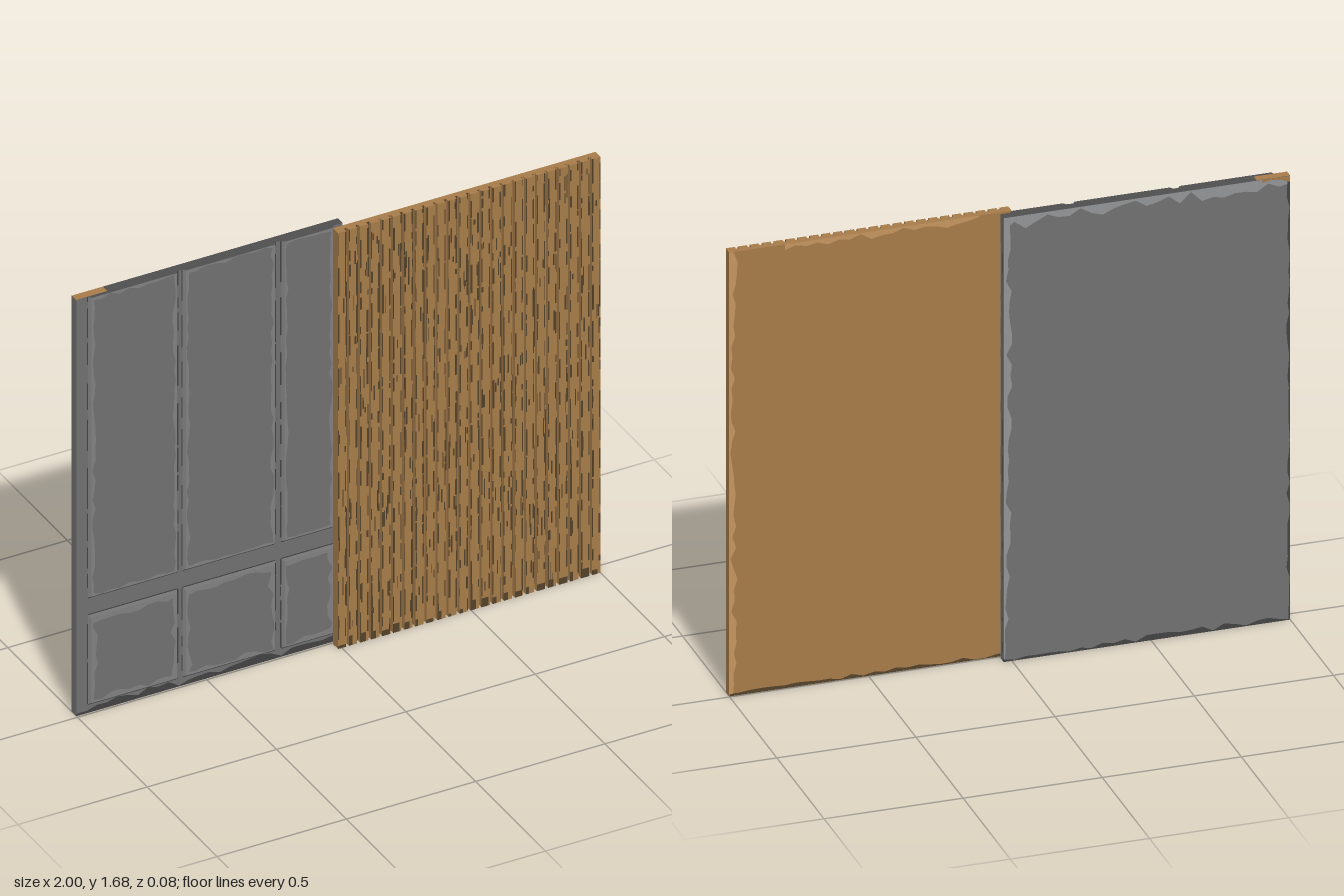
import * as THREE from 'three';

const material = (name, color) => {
  const m = new THREE.MeshStandardMaterial({ color });
  m.name = name;
  return m;
};

export function createModel() {
  const grey = material('painted grey', 0x707070);
  const darkGrey = material('dark worn edge', 0x424242);
  const topGrey = material('dull grey', 0x4e4e4e);
  const lightGrey = material('rubbed grey', 0x808080);
  const scuffGrey = material('scuffed grey', 0x929394);
  const wood = material('wood', 0xa67b49);
  const lightWood = material('rubbed wood', 0xc4955d);
  const darkWood = material('dark wood', 0x54422a);

  let seed = 7;
  const random = () => (seed = (seed * 16807) % 2147483647) / 2147483647;

  const H = 1.68;
  const model = new THREE.Group();
  model.name = 'slidingDoors';
  const group = (parent, name) => {
    const g = new THREE.Group();
    g.name = name;
    parent.add(g);
    return g;
  };
  const greyDoor = group(model, 'greyDoor');
  const woodDoor = group(model, 'slattedDoor');

  const add = (parent, name, geometry, mat) => {
    const mesh = new THREE.Mesh(geometry, mat);
    mesh.name = name;
    parent.add(mesh);
    return mesh;
  };
  // box given by its two corners
  const box = (parent, name, mat, x0, x1, y0, y1, z0, z1) => {
    const mesh = add(parent, name, new THREE.BoxGeometry(x1 - x0, y1 - y0, z1 - z0), mat);
    mesh.position.set((x0 + x1) / 2, (y0 + y1) / 2, (z0 + z1) / 2);
  };
  // flat strip with one ragged edge, starting at x, y and turned by angle
  const wornStrip = (parent, name, mat, length, width, x, y, z, angle) => {
    const shape = new THREE.Shape();
    shape.moveTo(0, 0);
    shape.lineTo(length, 0);
    const n = Math.ceil(length / 0.04);
    for (let i = n; i >= 0; i--) {
      shape.lineTo((length * i) / n, width * (0.1 + 0.9 * random()));
    }
    const mesh = add(parent, name, new THREE.ShapeGeometry(shape), mat);
    mesh.position.set(x, y, z);
    mesh.rotation.z = angle;
  };
  // broken upright line made of short pieces of varying width
  const brokenLine = (parent, name, mat, x, side, y0, y1, z0, z1, width, piece, gap) => {
    for (let y = y0 + gap * random(); y < y1 - 0.01;) {
      const end = Math.min(y1, y + piece * (0.2 + random()));
      const w = width * (0.5 + random());
      box(parent, name, mat, side < 0 ? x - w : x, side < 0 ? x : x + w, y, end, z0, z1);
      y = end + gap * random();
    }
  };
  const { PI } = Math;

  // grey door: backing slab
  box(greyDoor, 'greySlab', [grey, grey, topGrey, darkGrey, grey, grey],
    -1, 0.03, 0, H, -0.042, -0.009);
  box(greyDoor, 'bareWoodCorner', wood, -1, -0.88, H - 0.004, H + 0.001, -0.041, -0.01);

  // raised panels with sloping edges
  const raisedPanel = (x0, x1, y0, y1, openTop) => {
    const b = 0.008;
    const w = x1 - x0, h = y1 - y0;
    const geo = new THREE.BoxGeometry(w, h, 0.012);
    const p = geo.attributes.position;
    for (let i = 0; i < p.count; i++) {
      if (p.getZ(i) < 0) continue;
      p.setX(i, p.getX(i) - Math.sign(p.getX(i)) * b);
      if (p.getY(i) < 0) p.setY(i, p.getY(i) + b);
      else if (!openTop) p.setY(i, p.getY(i) - b);
    }
    geo.computeVertexNormals();
    const mesh = add(greyDoor, 'raisedPanel', geo,
      [scuffGrey, lightGrey, openTop ? topGrey : grey, scuffGrey, grey, grey]);
    mesh.position.set((x0 + x1) / 2, (y0 + y1) / 2, -0.003);

    // broken dark lines around the panel foot
    for (const [x, side] of [[x0, 1], [x1, -1]]) {
      brokenLine(greyDoor, 'panelLine', darkGrey, x - side * 0.004, side, y0, y1,
        -0.009, -0.008, 0.005, 0.15, 0.08);
    }
    for (const y of openTop ? [y0] : [y0, y1]) {
      box(greyDoor, 'panelLine', darkGrey, x0, x1, y - 0.003, y + 0.003, -0.009, -0.008);
    }

    // rubbed paint along the panel's inner edges
    const fx0 = x0 + b, fx1 = x1 - b, fy0 = y0 + b, fy1 = openTop ? y1 : y1 - b;
    const width = openTop ? 0.016 : 0.026;
    const rub = (length, x, y, angle) =>
      wornStrip(greyDoor, 'panelRub', lightGrey, length, width, x, y, 0.0035, angle);
    rub(fx1 - fx0, fx0, fy0, 0);
    rub(fx1 - fx0, fx1, fy1, PI);
    rub(fy1 - fy0, fx0, fy1, -PI / 2);
    rub(fy1 - fy0, fx1, fy0, PI / 2);
  };
  for (const [x0, x1] of [[-0.955, -0.61], [-0.59, -0.232], [-0.208, -0.005]]) {
    raisedPanel(x0, x1, 0.035, 0.395, false);
    raisedPanel(x0, x1, 0.465, H, true);
  }
  wornStrip(greyDoor, 'frontBottomWear', darkGrey, 1.03, 0.034, -1, 0, -0.0075, 0);

  // dark wear on the grey door's inner edge
  const greyEdge = group(greyDoor, 'greyEdgeWear');
  greyEdge.rotation.y = PI / 2;
  greyEdge.position.x = 0.0305;
  wornStrip(greyEdge, 'edgeWear', darkGrey, H, 0.01, 0.042, 0, 0, PI / 2);
  wornStrip(greyEdge, 'edgeRub', scuffGrey, H, 0.01, 0.009, H, 0, -PI / 2);

  // wear on the grey door's back
  const greyBack = group(greyDoor, 'greyBackWear');
  greyBack.rotation.y = PI;
  greyBack.position.z = -0.0425;
  wornStrip(greyBack, 'topRub', scuffGrey, 1.03, 0.05, 1, H, 0, PI);
  wornStrip(greyBack, 'innerSideRub', scuffGrey, H, 0.032, -0.03, H, 0, -PI / 2);
  wornStrip(greyBack, 'bottomWear', darkGrey, 1.03, 0.024, -0.03, 0, 0.0004, 0);
  wornStrip(greyBack, 'outerSideWear', darkGrey, H, 0.014, 1, 0, 0.0004, PI / 2);
  wornStrip(greyBack, 'bareCorner', wood, 0.1, 0.04, 1, H, 0.0006, PI);

  // slatted door: backing board and vertical slats
  const X0 = -0.015, slats = 24, groove = 0.011;
  const slat = (1 - X0 - groove * (slats - 1)) / slats;
  box(woodDoor, 'woodBoard', wood, X0, 1, 0, H, 0.005, 0.026);
  for (let i = 0; i < slats; i++) {
    const x = X0 + i * (slat + groove);
    box(woodDoor, 'slat', [wood, wood, wood, darkWood, wood, wood],
      x, x + slat, 0, H, 0.025, 0.041);
    // grime in the groove and along the slat's edges
    if (i < slats - 1) {
      brokenLine(woodDoor, 'grooveGrime', darkWood, x + slat, 1, 0, H,
        0.025, 0.027, groove * 0.66, 0.3, 0.03);
    }
    for (const [edge, side] of [[x, 1], [x + slat, -1]]) {
      brokenLine(woodDoor, 'edgeGrime', darkWood, edge, side, 0, H,
        0.0405, 0.0414, 0.0045, 0.1, 0.09);
    }
    // dark flecks in the grain
    for (let k = 0; k < 8; k++) {
      const fw = 0.002 + 0.004 * random();
      const fx = x + (slat - fw) * random();
      const fh = 0.02 + 0.06 * random();
      const fy = (H - fh) * random();
      box(woodDoor, 'grainFleck', darkWood, fx, fx + fw, fy, fy + fh, 0.0405, 0.0416);
    }
    // grime at the foot of the slat
    box(woodDoor, 'footGrime', darkWood, x, x + slat * (0.3 + 0.7 * random()),
      0, 0.01 + 0.03 * random(), 0.0405, 0.0418);
  }

  // wear on the slatted door's back
  const woodBack = group(woodDoor, 'woodBackWear');
  woodBack.rotation.y = PI;
  woodBack.position.z = 0.0045;
  wornStrip(woodBack, 'topRub', lightWood, 0.7, 0.03, -0.1, H, 0, PI);
  wornStrip(woodBack, 'sideRub', lightWood, H, 0.03, -1, H, 0, -PI / 2);
  wornStrip(woodBack, 'bottomWear', darkWood, 1.0, 0.016, -1, 0, 0.0004, 0);

  return model;
}
